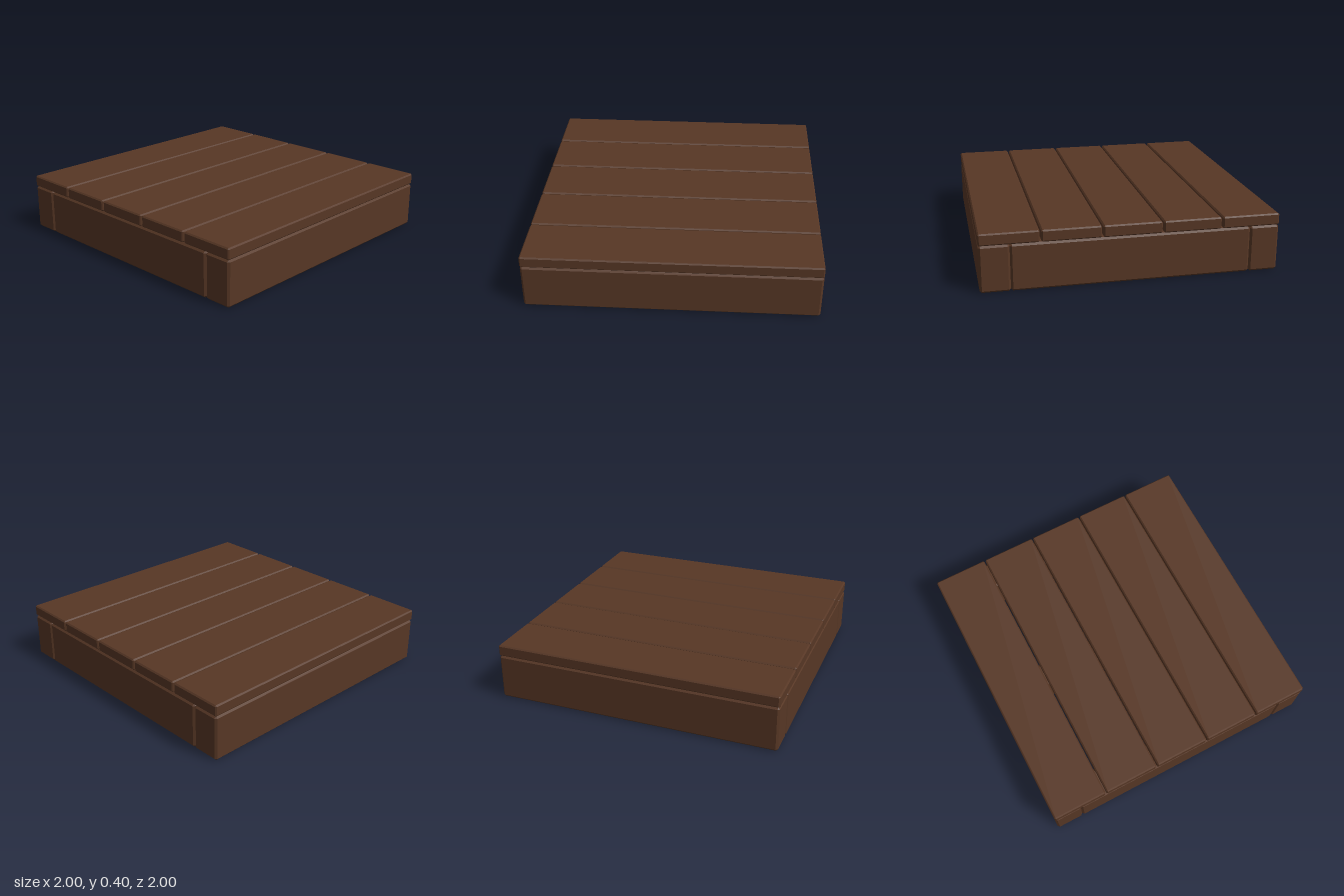
import * as THREE from 'three';
import { ConvexGeometry } from 'three/addons/geometries/ConvexGeometry.js';

// Box with a flat chamfer on every edge
function chamferedBox(w, h, d, c) {
  const half = [w / 2, h / 2, d / 2];
  const points = [];
  for (const sx of [-1, 1]) for (const sy of [-1, 1]) for (const sz of [-1, 1]) {
    for (let full = 0; full < 3; full++) {
      const p = half.map((v, axis) => (axis === full ? v : v - c));
      points.push(new THREE.Vector3(sx * p[0], sy * p[1], sz * p[2]));
    }
  }
  return new ConvexGeometry(points);
}

export function createModel() {
  const group = new THREE.Group();
  group.name = 'woodenPlatform';
  const wood = new THREE.MeshStandardMaterial({ color: 0x573725 });
  wood.name = 'darkWood';

  function addBoard(name, size, position, chamfer) {
    const mesh = new THREE.Mesh(chamferedBox(...size, chamfer), wood);
    mesh.name = name;
    mesh.position.set(...position);
    group.add(mesh);
  }

  const beamHeight = 0.32;
  const beamY = beamHeight / 2;

  // Front and back beams run the full width, side beams fit between them
  for (const s of [1, -1]) {
    addBoard(s > 0 ? 'frontBeam' : 'backBeam', [2, beamHeight, 0.2], [0, beamY, s * 0.9], 0.014);
    addBoard(s > 0 ? 'leftBeam' : 'rightBeam', [0.2, beamHeight, 1.6], [s * 0.9, beamY, 0], 0.014);
  }
  addBoard('middleBeam', [0.16, beamHeight, 1.6], [0, beamY, 0], 0.014);

  // Deck planks with narrow gaps
  const count = 5;
  const gap = 0.01;
  const width = (2 - gap * (count - 1)) / count;
  for (let i = 0; i < count; i++) {
    const z = -1 + width / 2 + i * (width + gap);
    addBoard('deckPlank' + (i + 1), [2, 0.08, width], [0, beamHeight + 0.04, z], 0.009);
  }
  return group;
}
